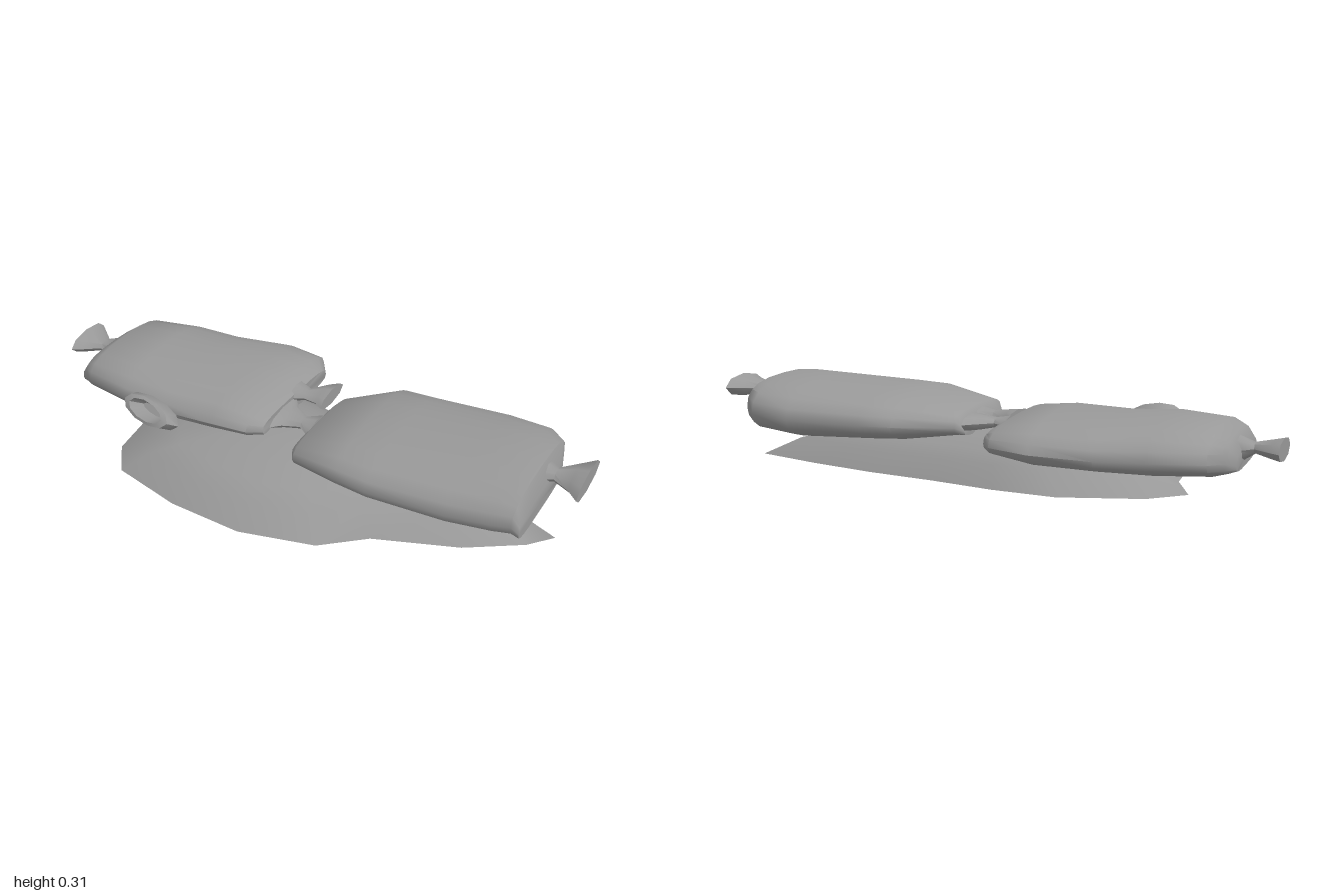
import * as THREE from 'three';
import { toCreasedNormals } from 'three/addons/utils/BufferGeometryUtils.js';

// Closed skin over rounded cross-sections [t, a0, a1, b0, b1, power]:
// along 'x' a is z and b is y (t ascending); along 'z' a is x and b is y (t descending).
// A low power makes a section boxy; waist is the height of its widest line;
// roll is the rise of b for each unit of a.
function loft(sections, { axis = 'x', waist = 0.5, sides = 8, roll = 0 } = {}) {
  const pos = [], index = [];
  const add = (t, a, b) => (axis === 'x' ? pos.push(t, b, a) : pos.push(a, b, t));
  for (const [t, a0, a1, b0, b1, power = 1] of sections) {
    const mid = b0 + (b1 - b0) * waist;
    for (let j = 0; j < sides; j++) {
      const th = (j / sides) * Math.PI * 2, c = Math.cos(th), s = Math.sin(th);
      const a = ((a1 - a0) / 2) * Math.sign(c) * Math.abs(c) ** power, b = Math.abs(s) ** power;
      add(t, (a0 + a1) / 2 + a, roll * a + (s > 0 ? mid + (b1 - mid) * b : mid - (mid - b0) * b));
    }
  }
  const last = sections.length - 1;
  for (let i = 0; i < last; i++) {
    for (let j = 0; j < sides; j++) {
      const p = i * sides + j, q = i * sides + ((j + 1) % sides);
      index.push(p, p + sides, q, q, p + sides, q + sides);
    }
  }
  // end caps
  [0, last].forEach((s, end) => {
    const [t, a0, a1, b0, b1] = sections[s];
    const c = pos.length / 3;
    add(t, (a0 + a1) / 2, (b0 + b1) / 2);
    for (let j = 0; j < sides; j++) {
      const p = s * sides + j, q = s * sides + ((j + 1) % sides);
      if (end) index.push(c, q, p);
      else index.push(c, p, q);
    }
  });
  const g = new THREE.BufferGeometry();
  g.setAttribute('position', new THREE.Float32BufferAttribute(pos, 3));
  g.setIndex(index);
  return toCreasedNormals(g, 0.9);
}

// Low open dome: the ground outline shrunk ring by ring while rising
function moundGeometry() {
  const outline = [
    [0.93, -0.08], [0.86, 0], [0.68, 0.12], [0.4, 0.23], [0.26, 0.35], [0, 0.42], [-0.27, 0.41],
    [-0.53, 0.35], [-0.61, 0.24], [-0.63, 0.05], [-0.71, -0.13], [-0.6, -0.24], [-0.33, -0.33],
    [-0.1, -0.31], [0.14, -0.26], [0.4, -0.22], [0.66, -0.16],
  ];
  const rings = [[1, 0], [0.83, 0.072], [0.66, 0.108], [0.46, 0.14], [0.24, 0.16]];
  const n = outline.length, pos = [], index = [];
  for (const [s, y] of rings) for (const [x, z] of outline) pos.push(x * s, y, z * s);
  pos.push(0, 0.168, 0);
  for (let r = 0; r < rings.length; r++) {
    for (let j = 0; j < n; j++) {
      const p = r * n + j, q = r * n + ((j + 1) % n);
      if (r === rings.length - 1) index.push(p, rings.length * n, q);
      else index.push(p, p + n, q, q, p + n, q + n);
    }
  }
  const g = new THREE.BufferGeometry();
  g.setAttribute('position', new THREE.Float32BufferAttribute(pos, 3));
  // the outline runs clockwise seen from above, so reverse the corners to face up
  g.setIndex(index.reverse());
  g.computeVertexNormals();
  return g;
}

export function createModel() {
  const model = new THREE.Group();
  model.name = 'sandbagPile';
  const cloth = new THREE.MeshStandardMaterial({ color: 0x999999 });
  cloth.name = 'grey';
  cloth.side = THREE.DoubleSide;
  const add = (name, geometry) => {
    const mesh = new THREE.Mesh(geometry, cloth);
    mesh.name = name;
    model.add(mesh);
    return mesh;
  };

  add('mound', moundGeometry());

  // Filled bags: full in the middle, flat and square at the ends, leaning back a little
  add('leftBag', loft([
    [0.055, -0.18, 0.15, 0.145, 0.19, 0.6], [0.085, -0.2, 0.2, 0.14, 0.23, 0.75],
    [0.26, -0.33, 0.24, 0.122, 0.283, 0.9], [0.38, -0.34, 0.25, 0.116, 0.29, 0.9],
    [0.65, -0.36, 0.23, 0.108, 0.307, 0.9], [0.8, -0.34, 0.21, 0.125, 0.313, 0.85],
    [0.86, -0.28, 0.2, 0.148, 0.306, 0.75], [0.885, -0.2, 0.19, 0.156, 0.245, 0.6],
  ], { waist: 0.45, sides: 20, roll: 0.04 }));
  add('rightBag', loft([
    [-0.875, -0.2, 0.1, 0.1, 0.165, 0.6], [-0.85, -0.25, 0.115, 0.093, 0.21, 0.7],
    [-0.81, -0.32, 0.14, 0.086, 0.237, 0.85], [-0.63, -0.365, 0.17, 0.077, 0.254, 0.92],
    [-0.47, -0.39, 0.17, 0.083, 0.243, 0.92], [-0.27, -0.425, 0.16, 0.096, 0.253, 0.92],
    [-0.13, -0.405, 0.15, 0.127, 0.233, 0.8], [-0.085, -0.34, 0.11, 0.14, 0.205, 0.6],
  ], { waist: 0.43, sides: 20, roll: 0.055 }));

  // Tied ends: a pinched neck that flares out
  const knots = {
    leftOuterKnot: [[0.85, -0.14, -0.03, 0.22, 0.29], [0.9, -0.115, -0.055, 0.235, 0.275],
      [0.96, -0.17, -0.02, 0.225, 0.292], [1, -0.21, 0.02, 0.22, 0.303]],
    leftInnerKnot: [[-0.07, -0.1, 0.09, 0.165, 0.22], [-0.04, -0.06, 0.06, 0.167, 0.217],
      [0.02, -0.025, 0.035, 0.175, 0.21], [0.07, -0.06, 0.07, 0.165, 0.22]],
    rightInnerKnot: [[-0.1, -0.2, -0.09, 0.165, 0.22], [-0.05, -0.175, -0.115, 0.178, 0.212],
      [0, -0.23, -0.11, 0.17, 0.222], [0.03, -0.26, -0.09, 0.166, 0.225]],
    rightOuterKnot: [[-1, -0.19, 0.01, 0.125, 0.2], [-0.97, -0.165, -0.01, 0.13, 0.193],
      [-0.91, -0.115, -0.055, 0.142, 0.18], [-0.86, -0.14, -0.04, 0.11, 0.2]],
  };
  for (const name in knots) add(name, loft(knots[name]));

  // Open gathered mouth on the front of the right bag, tipped up
  const spout = add('sideSpout', loft([
    [-0.01, -0.055, 0.05, -0.015, 0.015], [0.055, -0.075, 0.07, -0.034, 0.034], [0.05, -0.1, 0.095, -0.045, 0.045],
    [0, -0.115, 0.115, -0.046, 0.046], [-0.045, -0.075, 0.075, -0.038, 0.038], [-0.1, -0.04, 0.04, -0.03, 0.03],
  ], { axis: 'z', sides: 10 }));
  spout.position.set(-0.49, 0.172, 0.188);
  spout.rotation.set(-0.55, 0, -0.2);

  return model;
}
